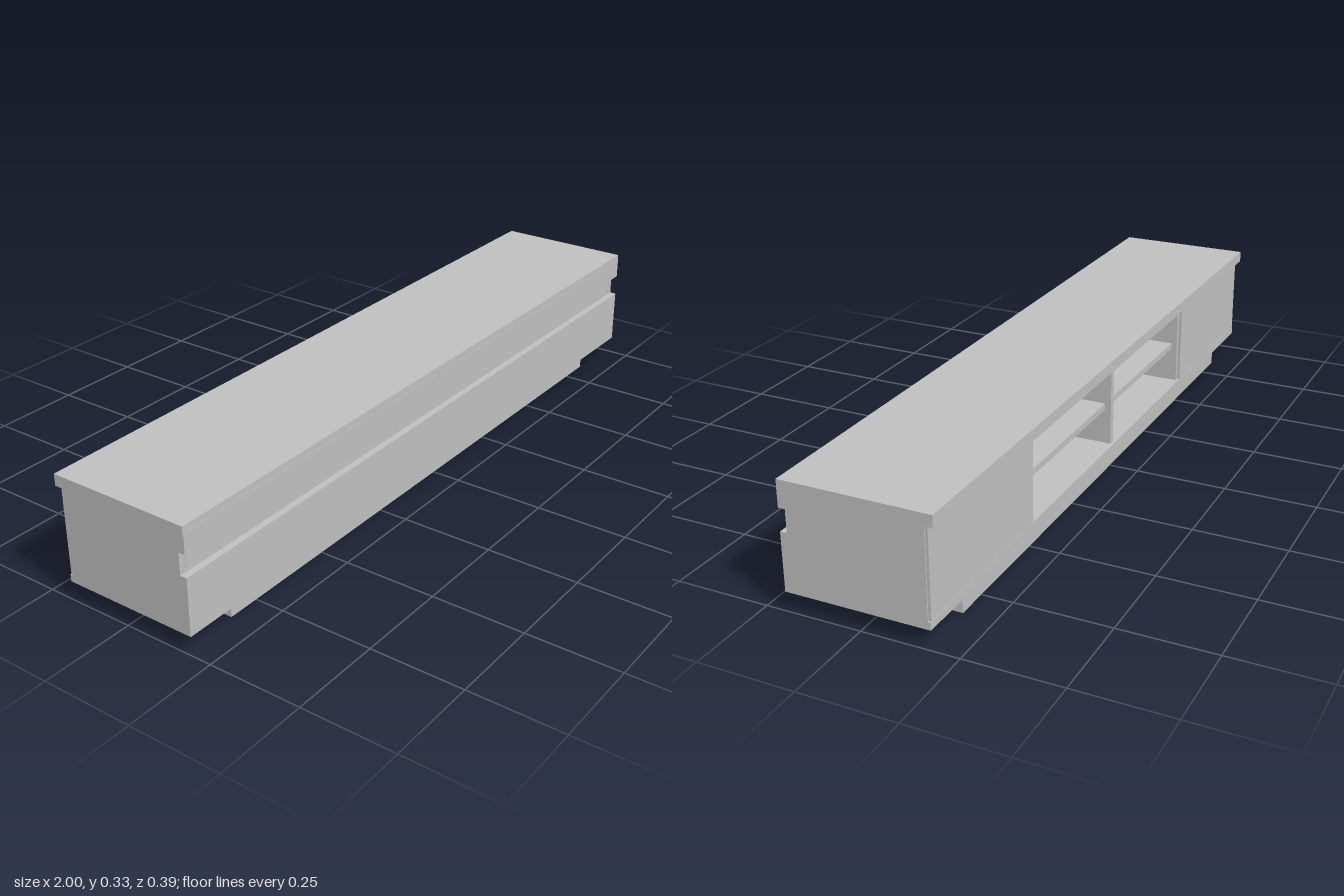
import * as THREE from 'three';

export function createModel() {
  const group = new THREE.Group();
  group.name = 'counter';
  const grey = new THREE.MeshStandardMaterial({ color: 0xbfbfbf });
  grey.name = 'light grey';

  // board given by its lower and upper limits on each axis
  function board(name, [x0, x1], [y0, y1], [z0, z1]) {
    const mesh = new THREE.Mesh(new THREE.BoxGeometry(x1 - x0, y1 - y0, z1 - z0), grey);
    mesh.position.set((x0 + x1) / 2, (y0 + y1) / 2, (z0 + z1) / 2);
    mesh.name = name;
    group.add(mesh);
  }

  const t = 0.018; // board thickness
  const full = [-0.999, 0.999];

  // worktop and floor of the cabinet
  board('worktop', [-1, 1], [0.302, 0.333], [-0.195, 0.195]);
  board('bottomBoard', full, [0.05, 0.07], [-0.18, 0.178]);

  // front: recessed backing with two cladding boards and a groove between
  board('frontBacking', [-0.98, 0.98], [0.07, 0.302], [0.16, 0.178]);
  board('lowerFrontPanel', full, [0.05, 0.203], [0.178, 0.196]);
  board('upperFrontPanel', full, [0.262, 0.315], [0.178, 0.196]);

  // ends and rear doors, mirrored
  for (const s of [-1, 1]) {
    const span = (a, b) => (s > 0 ? [a, b] : [-b, -a]);
    board('endPanel', span(0.999 - t, 0.999), [0.07, 0.302], [-0.173, 0.178]);
    board('rearDoor', span(0.502, 0.996), [0.071, 0.302], [-0.18, -0.173]);
  }

  // upright dividers and the shelves between them
  for (const x of [-0.5, 0, 0.5]) {
    board('divider', [x - t / 2, x + t / 2], [0.07, 0.302], [-0.172, 0.16]);
  }
  for (const x of [-0.25, 0.25]) {
    board('shelf', [x - 0.241, x + 0.241], [0.168, 0.186], [-0.155, 0.16]);
  }

  // plinth frame, open underneath, with cross rails
  board('plinthFront', [-0.838, 0.838], [0, 0.05], [0.17 - t, 0.17]);
  board('plinthBack', [-0.838, 0.838], [0, 0.05], [-0.168, -0.168 + t]);
  for (let i = -2; i <= 2; i++) {
    const x = i * 0.4145;
    board('plinthRail', [x - t / 2, x + t / 2], [0, 0.05], [-0.168 + t, 0.17 - t]);
  }

  return group;
}
